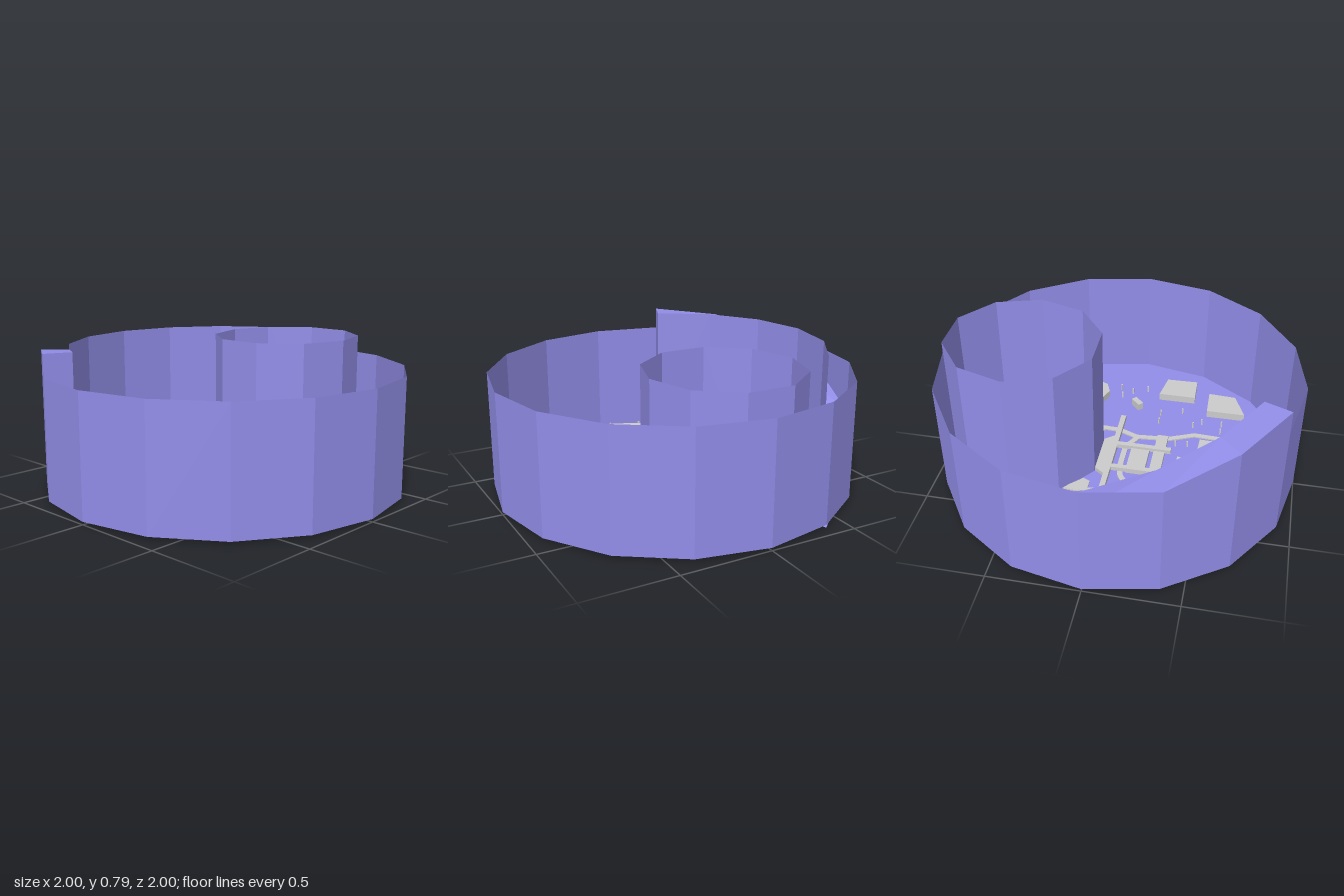
import * as THREE from 'three';

const FLOOR = 0.015, RIM = 0.665, TOP = 0.79;
const purple = new THREE.MeshStandardMaterial({ color: 0x928de8, flatShading: true, side: THREE.DoubleSide });
const purpleFront = new THREE.MeshStandardMaterial({ color: 0x928de8, flatShading: true });
const grey = new THREE.MeshStandardMaterial({ color: 0xcccccc, flatShading: true });

function add(parent, name, geometry, material) {
  const mesh = new THREE.Mesh(geometry, material);
  mesh.name = name;
  parent.add(mesh);
  return mesh;
}

// Upright prism over an outline of [x, z] points
function slab(points, y0, y1) {
  const shape = new THREE.Shape(points.map(([x, z]) => new THREE.Vector2(x, -z)));
  const g = new THREE.ExtrudeGeometry(shape, { depth: y1 - y0, bevelEnabled: false });
  return g.rotateX(-Math.PI / 2).translate(0, y0, 0);
}

const rect = (x0, z0, x1, z1) => [[x0, z0], [x1, z0], [x1, z1], [x0, z1]];

// Regular or turned rectangle outline
function turned(cx, cz, w, d, angle) {
  const c = Math.cos(angle), s = Math.sin(angle);
  return rect(-w / 2, -d / 2, w / 2, d / 2).map(([x, z]) => [cx + x * c - z * s, cz + x * s + z * c]);
}

// Flat ribbon of constant width along a bent path
function ribbon(path, width) {
  const left = [], right = [];
  path.forEach(([x, z], i) => {
    const a = path[Math.max(i - 1, 0)], b = path[Math.min(i + 1, path.length - 1)];
    const dx = b[0] - a[0], dz = b[1] - a[1], k = width / 2 / Math.hypot(dx, dz);
    left.push([x - dz * k, z + dx * k]);
    right.unshift([x + dz * k, z - dx * k]);
  });
  return left.concat(right);
}

// Loose quads, corners counter-clockwise as seen from the front
function quads(list) {
  const pos = [];
  for (const [a, b, c, d] of list) pos.push(...a, ...b, ...c, ...a, ...c, ...d);
  const g = new THREE.BufferGeometry();
  g.setAttribute('position', new THREE.Float32BufferAttribute(pos, 3));
  g.computeVertexNormals();
  return g;
}

// Curved ramp descending along the back wall
function buildRamp(parent) {
  const heights = [TOP, 0.76, 0.665, 0.54, 0.38, 0.19, 0];
  const inner = [], outer = [];
  heights.forEach((h, i) => {
    const a = Math.PI * (1.125 + i / 8);
    outer.push([Math.cos(a), h, Math.sin(a)]);
    inner.push([Math.cos(a) * 0.847, h, Math.sin(a) * 0.847]);
  });
  const at = (p, y) => [p[0], y, p[2]];
  const deck = [], wall = [], lip = [];
  for (let i = 0; i < 6; i++) {
    const a = inner[i], b = inner[i + 1], c = outer[i + 1], d = outer[i];
    deck.push([a, b, c, d]);
    wall.push([at(a, FLOOR), at(b, FLOOR), at(b, TOP), at(a, TOP)]);
    if (i < 2) lip.push([at(c, RIM), at(d, RIM), d, c]);
  }
  add(parent, 'rampDeck', quads(deck), purpleFront);
  add(parent, 'rampInnerWall', quads(wall), purpleFront);
  add(parent, 'rampOuterLip', quads(lip), purple);
  const p = outer[0], q = inner[0];
  add(parent, 'rampEndWall', quads([[at(p, FLOOR), at(q, FLOOR), q, p]]), purpleFront);
}

export function createModel() {
  const model = new THREE.Group();
  model.name = 'roundArena';

  // Outer shell
  const wall = new THREE.CylinderGeometry(1, 1, RIM - FLOOR, 16, 1, true);
  add(model, 'outerWall', wall.translate(0, (RIM + FLOOR) / 2, 0), purple);
  const floor = new THREE.CircleGeometry(1, 16).rotateX(-Math.PI / 2);
  add(model, 'floor', floor.translate(0, FLOOR, 0), purple);
  buildRamp(model);

  // Open ten-sided drum
  const drum = new THREE.CylinderGeometry(0.435, 0.435, TOP - FLOOR, 10, 1, true).scale(1, 1, 0.95);
  add(model, 'drum', drum.translate(0.537, (TOP + FLOOR) / 2, 0), purple);

  // Low blocks standing on the floor
  const blocks = new THREE.Group();
  blocks.name = 'blocks';
  model.add(blocks);
  const outlines = [
    [[-0.57, -0.545], [-0.405, -0.555], [-0.41, -0.38], [-0.64, -0.38]],
    [[-0.305, -0.68], [-0.11, -0.68], [-0.11, -0.51], [-0.31, -0.505]],
    [[-0.68, 0.5], [-0.45, 0.5], [-0.445, 0.68], [-0.61, 0.67]],
    [[-0.36, 0.62], [-0.135, 0.62], [-0.165, 0.785], [-0.355, 0.79]],
    [[-0.82, -0.21], [-0.655, -0.22], [-0.66, -0.04], [-0.895, -0.04]],
    [[-0.895, 0.03], [-0.655, 0.045], [-0.66, 0.215], [-0.82, 0.205]],
    [[-0.635, -0.215], [-0.44, -0.22], [-0.44, -0.045], [-0.64, -0.04]],
    [[-0.635, 0.045], [-0.435, 0.035], [-0.44, 0.215], [-0.635, 0.21]],
    rect(-0.37, -0.04, -0.33, 0.035),
    turned(-0.035, -0.445, 0.075, 0.035, -0.7),
    turned(-0.01, 0.52, 0.075, 0.035, 0.8),
  ];
  for (const o of outlines) add(blocks, 'block', slab(o, FLOOR - 0.002, 0.06), grey);
  for (const [x, z] of [[0.255, -0.505], [0.285, 0.59]]) {
    const g = new THREE.CylinderGeometry(0.103, 0.103, 0.047, 8);
    add(blocks, 'octagonBlock', g.translate(x, 0.0365, z), grey);
  }

  // Central platform with rails and crossbar
  const centre = new THREE.Group();
  centre.name = 'centralPlatform';
  model.add(centre);
  add(centre, 'crossSlab', slab(rect(-0.25, -0.23, -0.185, 0.235), FLOOR - 0.002, 0.04), grey);
  add(centre, 'middleSlab', slab(rect(-0.16, -0.11, -0.052, 0.11), FLOOR - 0.002, 0.04), grey);
  for (const z of [-0.105, 0.098])
    add(centre, 'rail', slab(rect(-0.285, z - 0.015, 0.035, z + 0.015), 0.03, 0.055), grey);
  add(centre, 'crossbar', slab(rect(0.033, -0.375, 0.064, 0.37), 0.02, 0.05), grey);
  add(centre, 'gate', slab([[0.033, -0.17], [0.064, -0.17], [0.12, -0.13], [0.12, 0.13],
    [0.064, 0.175], [0.033, 0.175]], 0.02, 0.045), grey);

  // Thin walkways lying on the floor
  const ways = new THREE.Group();
  ways.name = 'walkways';
  model.add(ways);
  const paths = [
    [[-0.75, -0.21], [-0.71, -0.26], [-0.53, -0.28], [-0.37, -0.265], [-0.24, -0.21], [-0.05, -0.21],
      [0.05, -0.285], [0.14, -0.305], [0.27, -0.3]],
    [[-0.77, 0.21], [-0.71, 0.26], [-0.6, 0.285], [-0.4, 0.295], [-0.25, 0.23], [-0.06, 0.215],
      [0.05, 0.26], [0.15, 0.265], [0.26, 0.262]],
    [[-0.065, -0.2], [-0.03, -0.15], [-0.012, -0.08], [-0.012, 0.09], [-0.035, 0.15], [-0.065, 0.205]],
  ];
  for (const p of paths) add(ways, 'walkway', slab(ribbon(p, 0.032), FLOOR + 0.002, 0.025), grey);
  add(ways, 'walkwayEnd', slab([[0.13, -0.315], [0.27, -0.31], [0.17, -0.21], [0.13, -0.23]], 0.017, 0.026), grey);
  add(ways, 'walkwayEnd', slab([[0.13, 0.25], [0.18, 0.205], [0.26, 0.28], [0.13, 0.28]], 0.017, 0.026), grey);

  // Small scattered posts
  const posts = new THREE.Group();
  posts.name = 'posts';
  model.add(posts);
  const spots = [
    [-0.88, -0.28], [-0.87, -0.22], [-0.925, -0.04], [-0.925, 0.04], [-0.82, 0.285], [-0.81, 0.4],
    [-0.75, 0.34], [-0.65, 0.325], [-0.55, 0.345], [-0.55, 0.415], [-0.43, 0.415], [-0.38, 0.375],
    [-0.3, 0.5], [-0.17, 0.38], [-0.17, 0.46], [-0.05, 0.69], [0.04, 0.65], [0.1, 0.6], [0.12, 0.68],
    [-0.625, -0.31], [-0.52, -0.305], [-0.425, -0.335], [-0.25, -0.415], [-0.13, -0.425], [-0.255, -0.27],
    [0, -0.67], [0.06, -0.615], [0.135, -0.695], [0.14, -0.65], [-0.375, -0.175], [-0.375, -0.095],
    [-0.315, -0.15], [-0.37, 0.19], [-0.3, 0.18],
  ];
  for (const [x, z] of spots)
    add(posts, 'post', new THREE.BoxGeometry(0.009, 0.04, 0.009).translate(x, 0.035, z), grey);

  return model;
}
